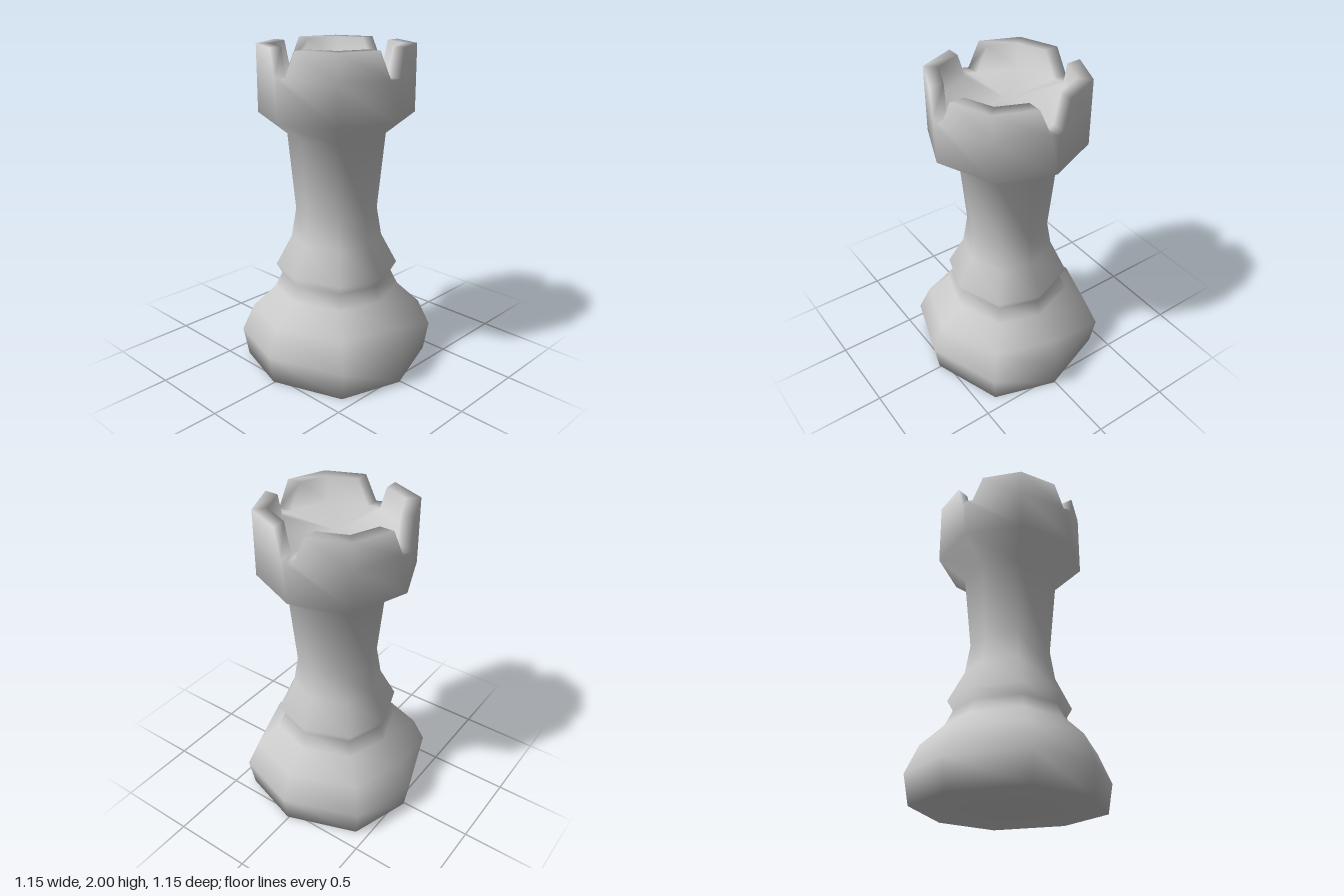
import * as THREE from 'three';

// Body profile: height, radius on the axes, radius on the diagonals
const PROFILE = [
  [0, 0.545, 0.575], [0.18, 0.575, 0.608], [0.35, 0.505, 0.53], [0.48, 0.37, 0.39],
  [0.57, 0.33, 0.345], [0.63, 0.365, 0.38], [0.82, 0.27, 0.28], [1.0, 0.245, 0.25],
  [1.47, 0.295, 0.295], [1.6, 0.465, 0.465],
];
const NOTCH_Y = 1.84, TOP_Y = 2, OUTER = 0.465, INNER = 0.378;

export function createModel() {
  const positions = [], index = [];
  const vertex = (x, y, z) => positions.push(x, y, z) / 3 - 1;
  const tri = (a, b, c) => index.push(a, b, c);
  const quad = (a, b, c, d) => { tri(a, b, c); tri(a, c, d); };

  // Repeat the points of one quadrant four times around the y axis
  const ring = (points, y) => {
    const ids = [];
    for (let q = 0; q < 4; q++) {
      for (let [x, z] of points) {
        for (let i = 0; i < q; i++) [x, z] = [-z, x];
        ids.push(vertex(x, y, z));
      }
    }
    return ids;
  };
  const polar = (r, degrees) => {
    const a = THREE.MathUtils.degToRad(degrees);
    return [r * Math.cos(a), r * Math.sin(a)];
  };
  // Crown quadrant: axis point, notch end, diagonal corner, next notch end
  const crownRing = (r, notch, y) => {
    const s = r - notch * Math.tan(Math.PI / 8);
    return ring([[r, 0], [s, notch], polar(r, 45), [notch, s]], y);
  };

  // Eight-sided body, very slightly twisted below the crown
  const body = PROFILE.map(([y, rAxis, rDiagonal]) => {
    const twist = y < 1.4 ? 1 : 0;
    return ring([polar(rAxis, twist), polar(rDiagonal, 45 - 2.3 * twist)], y);
  });
  for (let k = 0; k + 1 < body.length; k++) {
    for (let i = 0; i < 8; i++) {
      const j = (i + 1) % 8;
      quad(body[k][i], body[k + 1][i], body[k + 1][j], body[k][j]);
    }
  }

  // Underside
  const under = vertex(0, 0, 0);
  for (let i = 0; i < 8; i++) tri(under, body[0][i], body[0][(i + 1) % 8]);

  // Crown wall up to the notches
  const base = body[body.length - 1];
  const outLow = crownRing(OUTER, 0.04, NOTCH_Y);
  const inLow = crownRing(INNER, 0.04, NOTCH_Y);
  const outTop = crownRing(OUTER, 0.1, TOP_Y);
  const inTop = crownRing(INNER, 0.1, TOP_Y);
  for (let i = 0; i < 8; i++) {
    const [u0, u1, u2] = [0, 1, 2].map((n) => outLow[(2 * i + n) % 16]);
    tri(base[i], u0, u1);
    tri(base[i], u1, u2);
    tri(base[i], u2, base[(i + 1) % 8]);
  }

  // Battlements, notches and the floor inside
  const floor = vertex(0, NOTCH_Y, 0);
  for (let i = 0; i < 16; i++) {
    const j = (i + 1) % 16, part = i % 4;
    tri(inLow[i], floor, inLow[j]);
    if (part === 1 || part === 2) {
      quad(outLow[i], outTop[i], outTop[j], outLow[j]);
      quad(outTop[i], inTop[i], inTop[j], outTop[j]);
      quad(inTop[i], inLow[i], inLow[j], inTop[j]);
    } else {
      quad(outLow[i], inLow[i], inLow[j], outLow[j]);
    }
    // Sloping ends of each battlement
    if (part === 1) quad(outLow[i], inLow[i], inTop[i], outTop[i]);
    if (part === 3) quad(outLow[i], outTop[i], inTop[i], inLow[i]);
  }

  // Unused notch corners of the top rings are left out of the index
  const geometry = new THREE.BufferGeometry();
  geometry.setAttribute('position', new THREE.Float32BufferAttribute(positions, 3));
  geometry.setIndex(index);
  // Keep those unused corners inside the model's outline
  for (const r of [outTop, inTop]) {
    for (let i = 0; i < 16; i += 4) geometry.attributes.position.setXYZ(r[i], 0, NOTCH_Y, 0);
  }
  geometry.computeVertexNormals();

  const stone = new THREE.MeshStandardMaterial({ color: 0xcccccc });
  stone.name = 'pale grey';
  const tower = new THREE.Mesh(geometry, stone);
  tower.name = 'towerBodyAndCrown';

  const group = new THREE.Group();
  group.name = 'chessTower';
  group.add(tower);
  return group;
}
